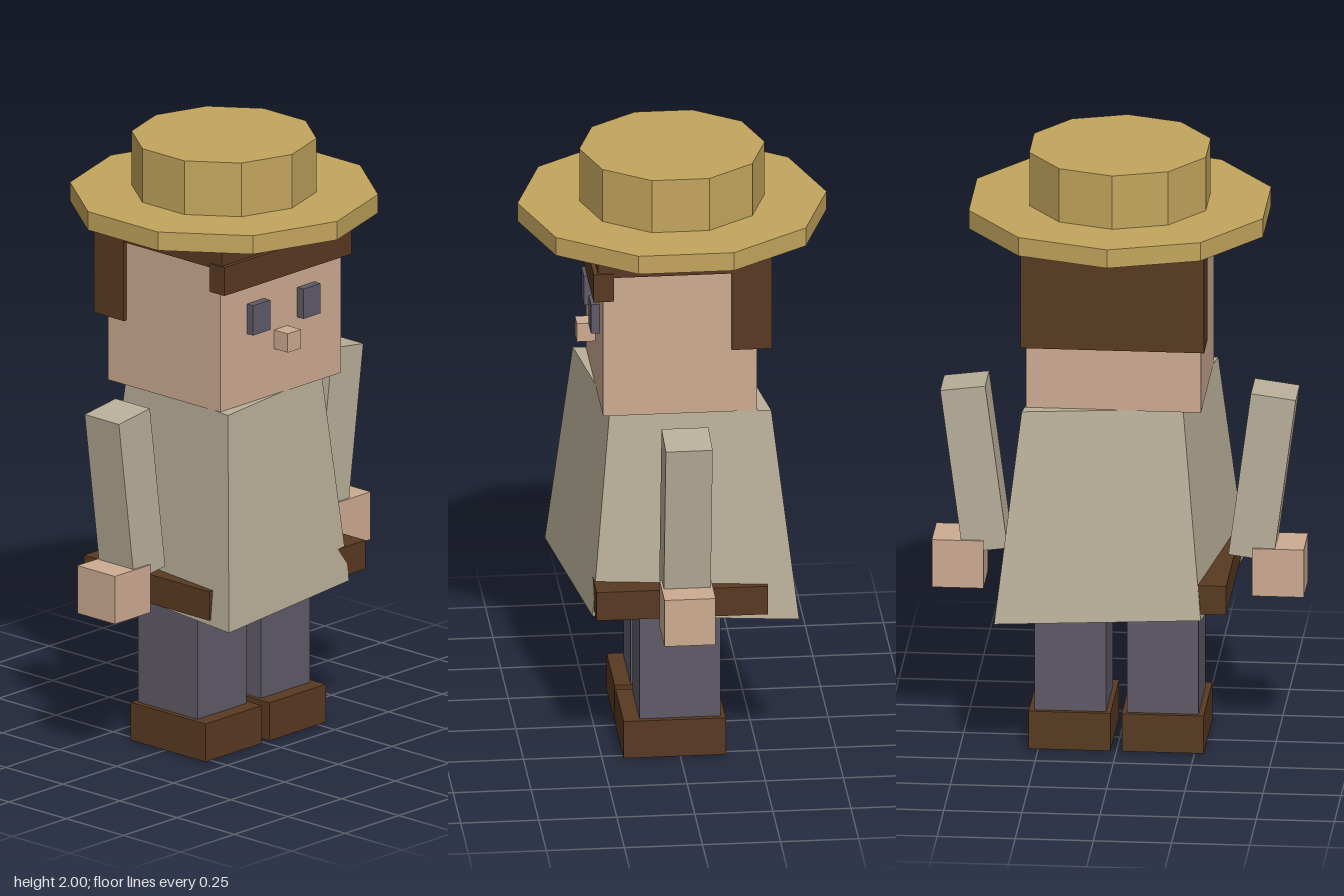
import * as THREE from 'three';

const mat = (name, color) => {
  const m = new THREE.MeshStandardMaterial({ color });
  m.name = name;
  return m;
};

export function createModel() {
  const straw = mat('straw', 0xc3a55d);
  const skin = mat('skin', 0xcdab92);
  const linen = mat('linen', 0xbab09a);
  const slate = mat('slate', 0x5f5b69);
  const brown = mat('brown', 0x593a21);

  const model = new THREE.Group();
  model.name = 'figure';

  const add = (name, geometry, material, x = 0, y = 0, z = 0) => {
    const mesh = new THREE.Mesh(geometry, material);
    mesh.name = name;
    mesh.position.set(x, y, z);
    model.add(mesh);
    return mesh;
  };

  // box given by its limits along each axis
  const box = (name, material, [x0, x1], [y0, y1], [z0, z1]) =>
    add(name, new THREE.BoxGeometry(x1 - x0, y1 - y0, z1 - z0), material,
      (x0 + x1) / 2, (y0 + y1) / 2, (z0 + z1) / 2);

  // faceted cylinder or frustum between two heights
  const prism = (name, material, rTop, rBottom, y0, y1, sides) => {
    const g = new THREE.CylinderGeometry(rTop, rBottom, y1 - y0, sides).toNonIndexed();
    g.computeVertexNormals();
    return add(name, g, material, 0, (y0 + y1) / 2, 0);
  };

  // legs, shoes, arms, hands and eyes, mirrored
  for (const s of [-1, 1]) {
    const side = s > 0 ? 'left' : 'right';
    const span = (a, b) => (s > 0 ? [a, b] : [-b, -a]);
    box(side + 'Leg', slate, span(0.033, 0.262), [0, 0.52], [-0.13, 0.13]);
    box(side + 'Shoe', brown, span(0.018, 0.28), [0.003, 0.13], [-0.145, 0.182]);
    const arm = add(side + 'Arm', new THREE.BoxGeometry(0.145, 0.55, 0.15), linen, s * 0.461, 0.917, 0);
    arm.rotation.z = -s * THREE.MathUtils.degToRad(7.5);
    box(side + 'Hand', skin, span(0.43, 0.595), [0.518, 0.678], [-0.082, 0.082]);
    box(side + 'Eye', slate, span(0.077, 0.157), [1.425, 1.525], [0.24, 0.275]);
  }

  // coat: four-sided flare, narrower across one diagonal
  const coat = prism('coat', linen, 0.41, 0.525, 0.5, 1.192, 4);
  coat.geometry.scale(0.76, 1, 1).rotateY(-Math.PI / 4);
  coat.geometry.computeVertexNormals();
  box('belt', brown, [-0.363, 0.363], [0.518, 0.615], [-0.272, 0.277]);

  // head
  box('head', skin, [-0.28, 0.28], [1.19, 1.74], [-0.245, 0.248]);
  box('nose', skin, [-0.031, 0.031], [1.345, 1.408], [0.24, 0.308]);

  // hair
  box('hairTop', brown, [-0.292, 0.292], [1.672, 1.758], [-0.262, 0.265]);
  box('hairFringe', brown, [-0.296, 0.296], [1.592, 1.687], [0.215, 0.28]);
  box('hairBack', brown, [-0.294, 0.294], [1.408, 1.74], [-0.292, -0.163]);

  // hat
  prism('hatBrim', straw, 0.495, 0.495, 1.758, 1.82, 10);
  prism('hatCrown', straw, 0.297, 0.297, 1.81, 2, 10);

  return model;
}
